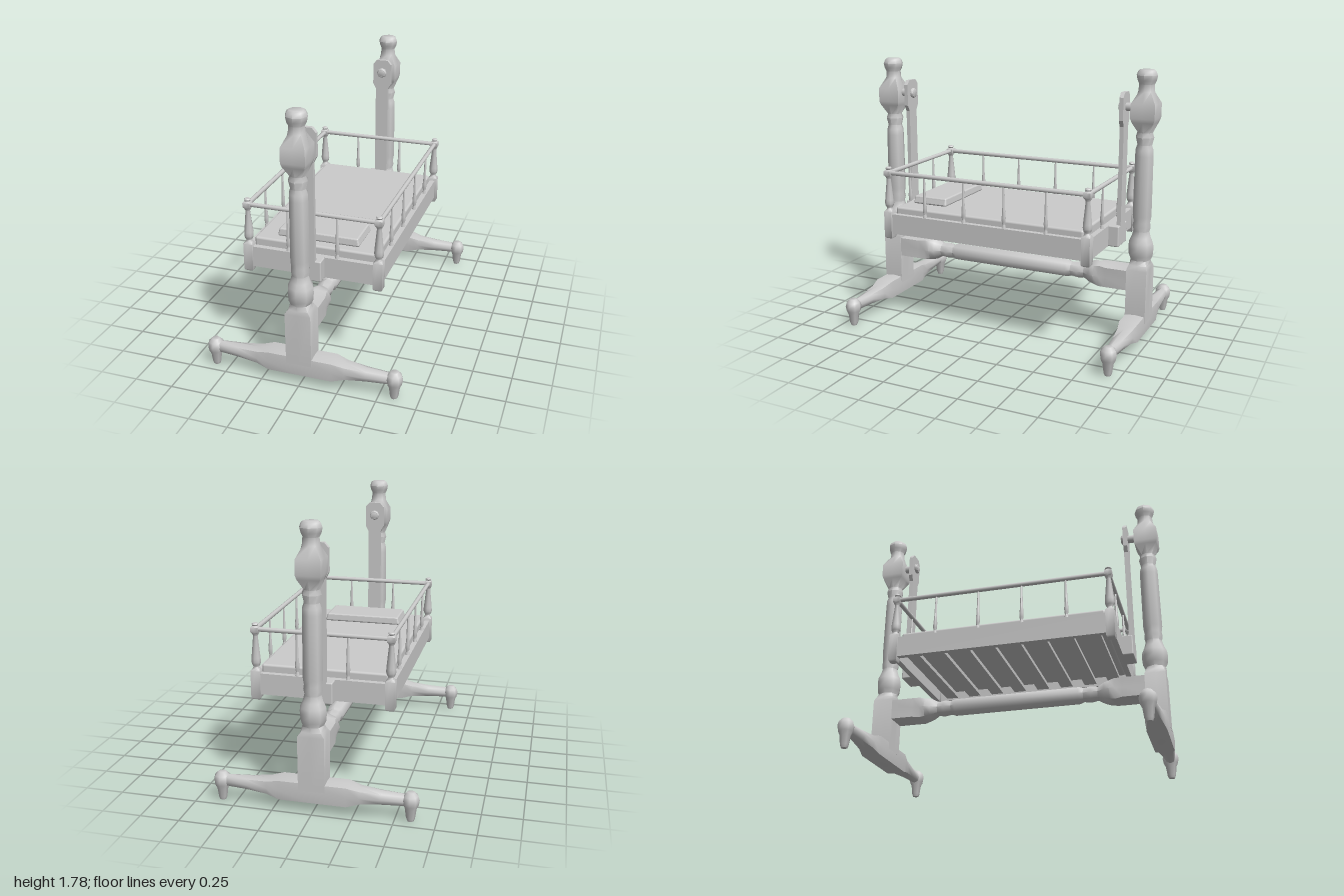
import * as THREE from 'three';
import { toCreasedNormals } from 'three/addons/utils/BufferGeometryUtils.js';
import { RoundedBoxGeometry } from 'three/addons/geometries/RoundedBoxGeometry.js';

const mat = new THREE.MeshStandardMaterial({ color: 0xcccccc });

function add(parent, name, geo, x = 0, y = 0, z = 0) {
  const m = new THREE.Mesh(geo, mat);
  m.name = name;
  m.position.set(x, y, z);
  parent.add(m);
  return m;
}

// Turned piece along y; rows are [y, halfX, halfZ, squareness 0..1], eight sides each
function turned(rows, axis = 'y') {
  const N = 8, pos = [], idx = [];
  rows.forEach(([y, hx, hz = hx, sq = 0]) => {
    for (let k = 0; k < N; k++) {
      const t = (k / N) * Math.PI * 2, c = Math.cos(t), s = Math.sin(t);
      const f = 1 + sq * (1 / Math.max(Math.abs(c), Math.abs(s)) - 1);
      pos.push(c * f * hx, y, s * f * hz);
    }
  });
  for (let j = 0; j < rows.length - 1; j++) {
    for (let k = 0; k < N; k++) {
      const a = j * N + k, b = j * N + ((k + 1) % N);
      idx.push(a, a + N, b, b, a + N, b + N);
    }
  }
  const last = (rows.length - 1) * N;
  for (let k = 1; k < N - 1; k++) {
    idx.push(0, k, k + 1, last, last + k + 1, last + k);
  }
  const g = new THREE.BufferGeometry();
  g.setAttribute('position', new THREE.Float32BufferAttribute(pos, 3));
  g.setIndex(idx);
  if (axis === 'x') g.rotateZ(-Math.PI / 2);
  if (axis === 'z') g.rotateX(Math.PI / 2);
  return toCreasedNormals(g, 0.9);
}

// Rows for a piece that is the same at both ends, given from the middle outwards
const mirrored = (half) => [...half.map(([t, ...r]) => [-t, ...r]).reverse(), ...half];

const postRows = [
  [0.15, 0.083, 0.067, 1], [0.5, 0.083, 0.067, 1], [0.53, 0.075, 0.07, 0.4], [0.56, 0.066],
  [0.59, 0.08], [0.64, 0.084], [0.675, 0.08], [0.71, 0.064], [0.75, 0.053], [0.78, 0.06],
  [0.81, 0.055], [0.85, 0.062], [1.24, 0.06], [1.28, 0.058], [1.31, 0.048], [1.36, 0.06],
  [1.39, 0.05], [1.455, 0.072, 0.074, 0.8], [1.48, 0.075, 0.078, 1], [1.57, 0.075, 0.078, 1],
  [1.645, 0.054], [1.69, 0.05], [1.715, 0.062], [1.745, 0.068], [1.77, 0.058], [1.78, 0.045],
];
const footRows = mirrored([
  [0, 0.068, 0.068, 0.7], [0.21, 0.068, 0.068, 0.7], [0.29, 0.05, 0.058, 0.4],
  [0.42, 0.046, 0.048], [0.56, 0.04, 0.034],
]);
const toeRows = [
  [0, 0.02], [0.02, 0.028], [0.08, 0.036], [0.105, 0.048], [0.14, 0.054], [0.165, 0.046], [0.187, 0.025],
];
const stretcherRows = mirrored([
  [0, 0.06], [0.42, 0.06], [0.45, 0.048], [0.5, 0.057], [0.545, 0.048], [0.59, 0.075],
  [0.625, 0.087], [0.66, 0.08, 0.082, 0.5], [0.71, 0.08, 0.066, 1], [0.9, 0.08, 0.066, 1],
]);
const cornerRows = [
  [0.61, 0.024, 0.024, 0.8], [0.62, 0.03, 0.028, 1], [0.795, 0.03, 0.028, 1], [0.81, 0.022],
  [0.82, 0.018], [0.835, 0.027], [0.85, 0.031], [0.875, 0.03], [1.02, 0.015], [1.035, 0.023],
  [1.045, 0.024, 0.024, 1], [1.075, 0.024, 0.024, 1], [1.083, 0.017], [1.092, 0.022], [1.1, 0.016],
];
const spindleRows = [
  [0.775, 0.015], [0.79, 0.013], [0.805, 0.009], [0.82, 0.013], [0.85, 0.014], [0.9, 0.01], [1.055, 0.006],
];

// Flat hanging arm: wide chamfered head, narrower shaft
function hangerGeometry() {
  const half = [[0.045, 0.66], [0.045, 1.42], [0.066, 1.46], [0.066, 1.605], [0.04, 1.635]];
  const pts = [...half, ...half.map(([x, y]) => [-x, y]).reverse()];
  const shape = new THREE.Shape(pts.map(([x, y]) => new THREE.Vector2(x, y)));
  return new THREE.ExtrudeGeometry(shape, { depth: 0.027, bevelEnabled: false }).translate(0, 0, -0.0135);
}

export function createModel() {
  const model = new THREE.Group();
  model.name = 'swingingCradle';

  // Stand: two posts on cross feet, joined by a turned stretcher
  const stand = new THREE.Group();
  stand.name = 'stand';
  model.add(stand);
  for (const s of [1, -1]) {
    const z = s * 0.922;
    add(stand, 'post', turned(postRows), 0, 0, z);
    add(stand, 'crossFoot', turned(footRows, 'x'), 0, 0.133, z);
    for (const x of [-0.595, 0.595]) add(stand, 'toe', turned(toeRows), x, 0, z);
    // pivot peg with a rounded head on the inner side of the hanger
    const peg = turned(mirrored([[0, 0.027], [0.07, 0.027]]), 'z');
    add(stand, 'pivotPeg', peg, 0, 1.543, s * 0.82);
    add(stand, 'pegHead', turned(mirrored([[0, 0.036], [0.01, 0.033], [0.016, 0.022]]), 'z'), 0, 1.543, s * 0.765);
  }
  add(stand, 'stretcher', turned(stretcherRows, 'z'), 0, 0.425, 0);

  // Cradle
  const cradle = new THREE.Group();
  cradle.name = 'cradle';
  model.add(cradle);
  const X = 0.425, Z = 0.71;
  for (const s of [1, -1]) {
    add(cradle, 'hanger', hangerGeometry(), 0, 0, s * 0.7825);
    add(cradle, 'hangerBlock', new RoundedBoxGeometry(0.166, 0.138, 0.1, 2, 0.008), 0, 0.711, s * 0.746);
    add(cradle, 'endBoard', new THREE.BoxGeometry(2 * X, 0.137, 0.036), 0, 0.7115, s * Z);
    add(cradle, 'sideBoard', new THREE.BoxGeometry(0.036, 0.137, 2 * Z), s * X, 0.7115, 0);
    add(cradle, 'endRail', turned(mirrored([[X, 0.015]]), 'x'), 0, 1.06, s * Z);
    add(cradle, 'sideRail', turned(mirrored([[Z, 0.015]]), 'z'), s * X, 1.06, 0);
    for (const x of [-X, X]) add(cradle, 'cornerPost', turned(cornerRows), x, 0, s * Z);
    for (const x of [-0.16, 0.16]) add(cradle, 'endSpindle', turned(spindleRows), x, 0, s * Z);
    for (const z of [-0.435, -0.145, 0.145, 0.435]) {
      add(cradle, 'sideSpindle', turned(spindleRows), s * X, 0, z);
    }
  }

  // Slats across the bottom, mattress and pillow
  for (let i = 0; i < 8; i++) {
    add(cradle, 'slat', new THREE.BoxGeometry(0.83, 0.025, 0.085), 0, 0.672, -0.595 + i * 0.17);
  }
  add(cradle, 'mattress', new RoundedBoxGeometry(0.806, 0.125, 1.35, 3, 0.015), 0, 0.7615, 0);
  const pillow = new RoundedBoxGeometry(0.54, 0.054, 0.252, 3, 0.012);
  // narrow the top of the pillow slightly
  const p = pillow.attributes.position;
  for (let i = 0; i < p.count; i++) {
    if (p.getY(i) > 0) p.setXYZ(i, p.getX(i) * 0.97, p.getY(i), p.getZ(i) * 0.97);
  }
  pillow.computeVertexNormals();
  add(cradle, 'pillow', pillow, 0, 0.85, 0.491);

  return model;
}
